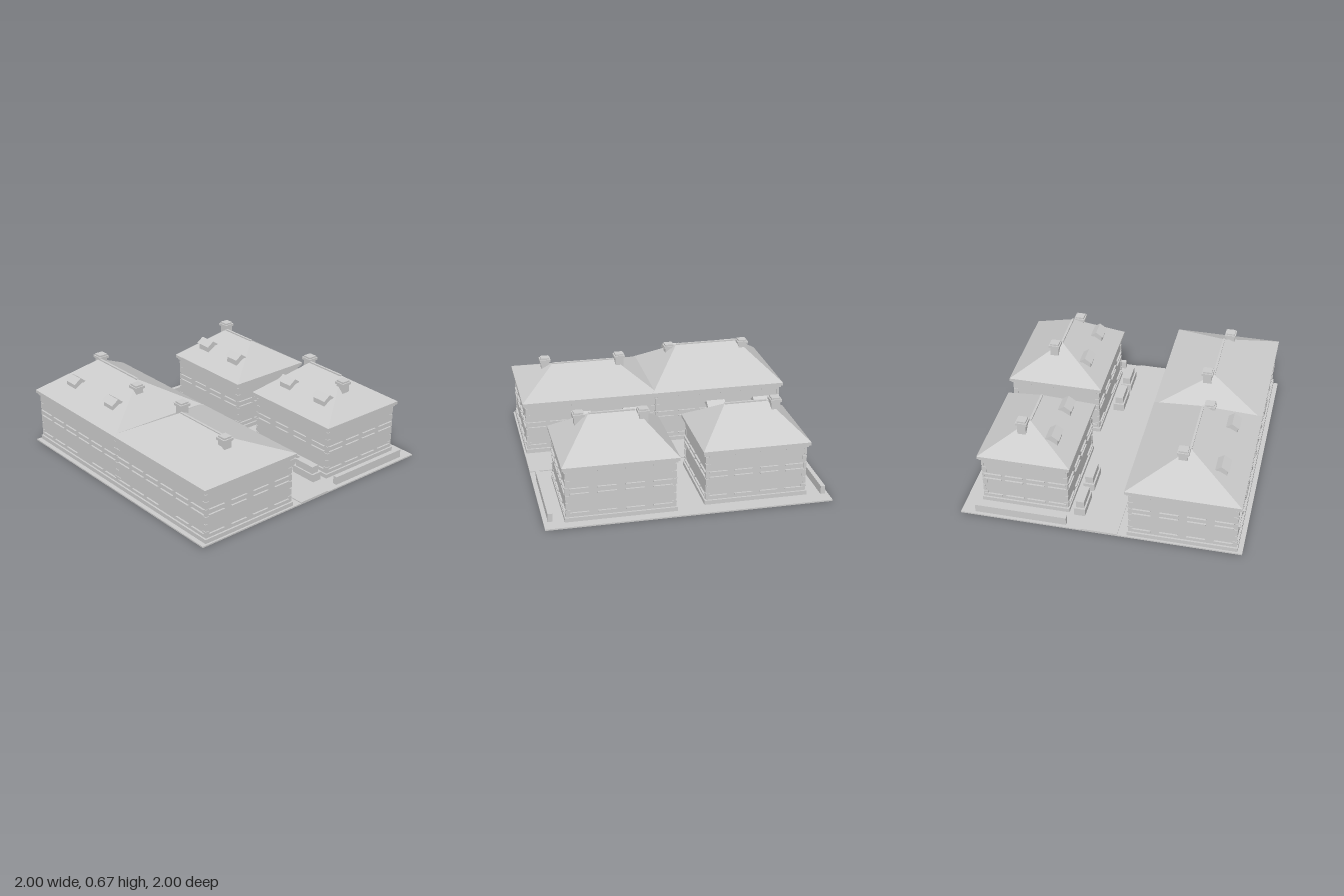
import * as THREE from 'three';

const stone = new THREE.MeshStandardMaterial({ color: 0xcccccc });
stone.name = 'pale grey';

// Box given by its limits on each axis
function box(parent, name, x0, x1, y0, y1, z0, z1) {
  const mesh = new THREE.Mesh(new THREE.BoxGeometry(x1 - x0, y1 - y0, z1 - z0), stone);
  mesh.position.set((x0 + x1) / 2, (y0 + y1) / 2, (z0 + z1) / 2);
  mesh.name = name;
  parent.add(mesh);
}

// Roof over a rectangle with its ridge along x; a full-length ridge gives a gable
function ridgedRoof(parent, name, x0, x1, z0, z1, y0, y1, r0, r1) {
  const zr = (z0 + z1) / 2;
  const a = [x0, y0, z1], b = [x1, y0, z1], c = [x1, y0, z0], d = [x0, y0, z0];
  const l = [r0, y1, zr], r = [r1, y1, zr];
  const faces = [a, b, r, a, r, l, c, d, l, c, l, r, b, c, r, d, a, l, a, d, c, a, c, b];
  const geo = new THREE.BufferGeometry();
  geo.setAttribute('position', new THREE.Float32BufferAttribute(faces.flat(), 3));
  geo.computeVertexNormals();
  const mesh = new THREE.Mesh(geo, stone);
  mesh.name = name;
  parent.add(mesh);
}

function chimney(parent, x, z, top) {
  const g = new THREE.Group();
  g.name = 'chimney';
  const slab = (name, h, y0, y1) => box(g, name, x - h, x + h, y0, y1, z - h, z + h);
  slab('chimneyShaft', 0.031, 0.45, top - 0.03);
  slab('chimneyCap', 0.041, top - 0.03, top - 0.012);
  slab('chimneyTop', 0.032, top - 0.012, top);
  parent.add(g);
}

function dormer(parent, x, z) {
  const g = new THREE.Group();
  g.name = 'dormer';
  box(g, 'dormerBody', x - 0.055, x + 0.055, 0.46, 0.54, z - 0.045, z + 0.04);
  ridgedRoof(g, 'dormerRoof', x - 0.066, x + 0.066, z - 0.053, z + 0.053, 0.535, 0.572, x - 0.066, x + 0.066);
  parent.add(g);
}

// Sills and lintels along one wall; the door column has no ground-floor sill
function windowTrim(parent, axis, from, to, count, wall, door) {
  const step = (to - from) / count;
  for (let i = 0; i < count; i++) {
    const m = from + step * (i + 0.5);
    for (const y of [0.07, 0.21, 0.25, 0.372]) {
      if (y === 0.07 && i === door) continue;
      const [u0, u1, w0, w1] = [m - 0.065, m + 0.065, wall - 0.013, wall + 0.013];
      const name = y === 0.07 || y === 0.25 ? 'windowSill' : 'windowLintel';
      if (axis === 'x') box(parent, name, u0, u1, y - 0.005, y + 0.005, w0, w1);
      else box(parent, name, w0, w1, y - 0.005, y + 0.005, u0, u1);
    }
  }
}

function house(o) {
  const g = new THREE.Group();
  g.name = o.name;
  const [x0, x1, z0, z1] = o.eaves;
  const layer = (name, inset, y0, y1) =>
    box(g, name, x0 + inset, x1 - inset, y0, y1, z0 + inset, z1 - inset);

  // Walls, plinth and stepped cornice
  layer('walls', 0.027, 0.03, 0.385);
  layer('plinth', 0.014, 0, 0.04);
  layer('lowerCornice', 0.012, 0.377, 0.392);
  layer('eaves', 0.001, 0.392, 0.415);

  // Alternating corner stones
  for (let i = 0; i < 6; i++) {
    const y = 0.045 + i * 0.055, s = i % 2 ? 0.018 : 0.032;
    for (const [x, sx] of [[x0 + 0.022, 1], [x1 - 0.022, -1]])
      for (const [z, sz] of [[z0 + 0.022, 1], [z1 - 0.022, -1]])
        box(g, 'cornerStone', Math.min(x, x + sx * s), Math.max(x, x + sx * s), y, y + 0.045,
          Math.min(z, z + sz * s), Math.max(z, z + sz * s));
  }

  // Window trim on all four sides
  windowTrim(g, 'x', x0 + 0.02, x1 - 0.02, o.columns, z1 - 0.027, o.door);
  windowTrim(g, 'x', x0 + 0.02, x1 - 0.02, o.columns, z0 + 0.027, -1);
  for (const wall of o.sides) windowTrim(g, 'z', z0 + 0.02, z1 - 0.02, 4, wall, -1);

  // Hipped roof with ridge cap
  const [r0, r1] = o.ridge, zr = (z0 + z1) / 2;
  ridgedRoof(g, 'hippedRoof', x0, x1, z0, z1, 0.415, o.top - 0.005, r0, r1);
  box(g, 'ridgeCap', r0, r1, o.top - 0.014, o.top, zr - 0.008, zr + 0.008);

  for (const c of o.chimneys) chimney(g, ...c);
  for (const d of o.dormers) dormer(g, ...d);
  return g;
}

export function createModel() {
  const model = new THREE.Group();
  model.name = 'housingBlock';

  // Site
  box(model, 'ground', -1, 1, 0, 0.01, -1, 1);
  box(model, 'road', -1, 1, 0.008, 0.017, -0.13, 0.13);

  const houses = [
    { name: 'frontRightHouse', eaves: [-1, 0.02, 0.18, 0.98], ridge: [-0.73, -0.25], top: 0.65,
      columns: 6, door: 3, sides: [-0.973],
      chimneys: [[-0.765, 0.54, 0.665], [-0.198, 0.625, 0.64]],
      dormers: [[-0.725, 0.8], [-0.253, 0.8]] },
    { name: 'frontLeftHouse', eaves: [-0.02, 1, 0.18, 0.98], ridge: [0.25, 0.72], top: 0.57,
      columns: 6, door: 3, sides: [0.973],
      chimneys: [[0.212, 0.54, 0.625], [0.773, 0.625, 0.605]], dormers: [] },
    { name: 'backRightHouse', eaves: [-0.86, -0.1, -0.9, -0.235], ridge: [-0.63, -0.33], top: 0.62,
      columns: 4, door: 2, sides: [-0.833, -0.127],
      chimneys: [[-0.678, -0.61, 0.655]],
      dormers: [[-0.65, -0.395], [-0.31, -0.395]] },
    { name: 'backLeftHouse', eaves: [0.07, 0.872, -0.945, -0.235], ridge: [0.31, 0.63], top: 0.645,
      columns: 4, door: 1, sides: [0.097, 0.845],
      chimneys: [[0.262, -0.63, 0.665], [0.695, -0.545, 0.64]],
      dormers: [[0.292, -0.395], [0.65, -0.395]] },
  ];
  for (const h of houses) model.add(house(h));

  // Low hedges along the side boundaries
  box(model, 'rightHedge', -0.977, -0.945, 0.01, 0.07, -0.9, -0.24);
  box(model, 'leftHedge', 0.937, 0.969, 0.01, 0.07, -0.9, -0.24);

  // Planters with clipped shrubs in front of the back houses
  for (const x of [-0.762, -0.492, 0.475, 0.738]) {
    box(model, 'planter', x - 0.1, x + 0.1, 0.01, 0.07, -0.212, -0.13);
    box(model, 'shrub', x - 0.085, x + 0.085, 0.07, 0.123, -0.2, -0.142);
  }
  return model;
}
